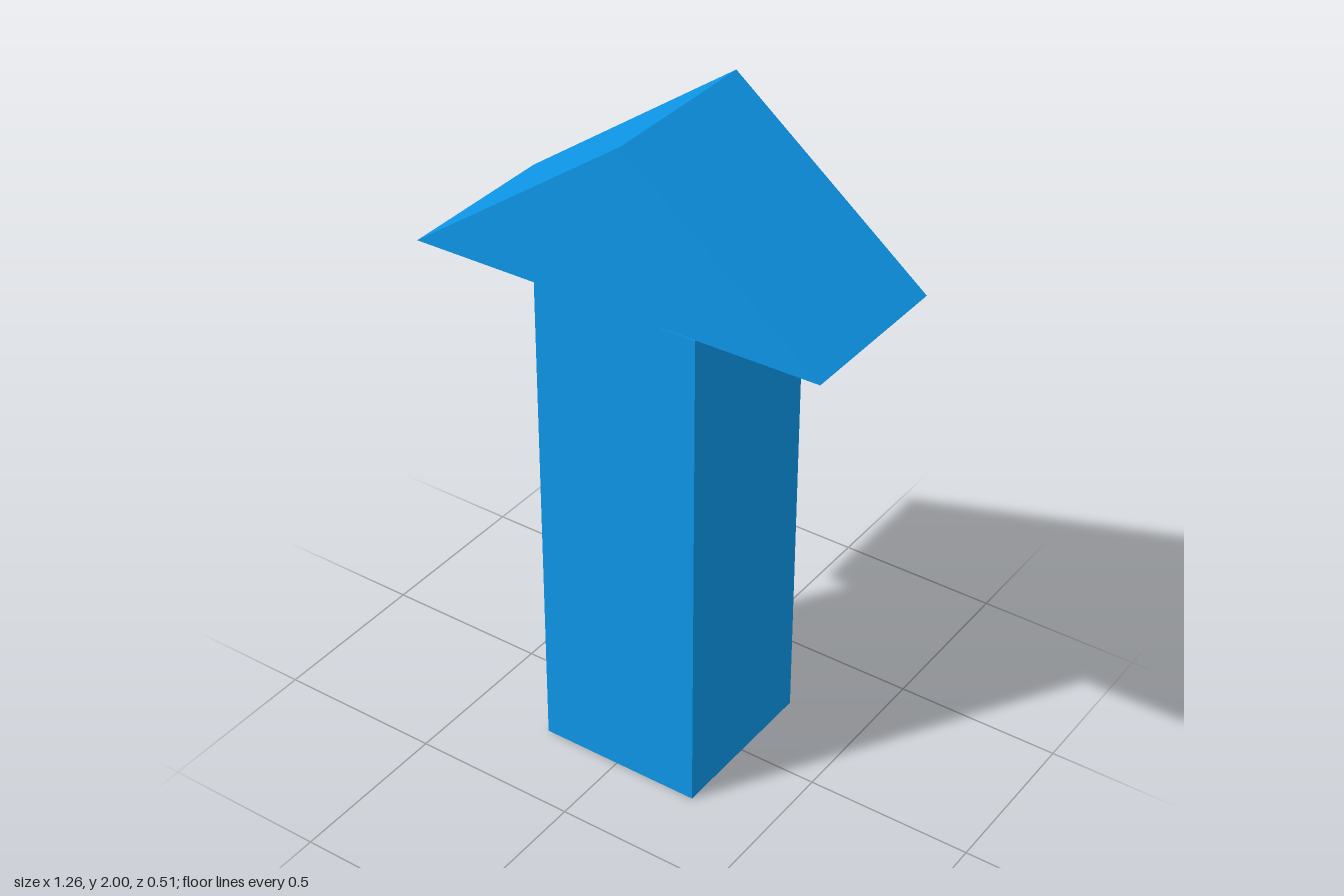
import * as THREE from 'three';

export function createModel() {
  const group = new THREE.Group();
  const blue = new THREE.MeshStandardMaterial({ color: 0x0d96e8 });

  // Square shaft
  const shaft = new THREE.Mesh(new THREE.BoxGeometry(0.505, 1.522, 0.507), blue);
  shaft.position.set(0.008, 0.761, -0.002);
  shaft.name = 'shaft';
  group.add(shaft);

  // Triangular arrow head, slightly lopsided
  const outline = new THREE.Shape([
    new THREE.Vector2(-0.63, 1.515),
    new THREE.Vector2(0.63, 1.532),
    new THREE.Vector2(0.038, 2),
  ]);
  const head = new THREE.Mesh(
    new THREE.ExtrudeGeometry(outline, { depth: 0.507, bevelEnabled: false }),
    blue
  );
  head.position.z = -0.252;
  head.name = 'arrowHead';
  group.add(head);

  return group;
}
